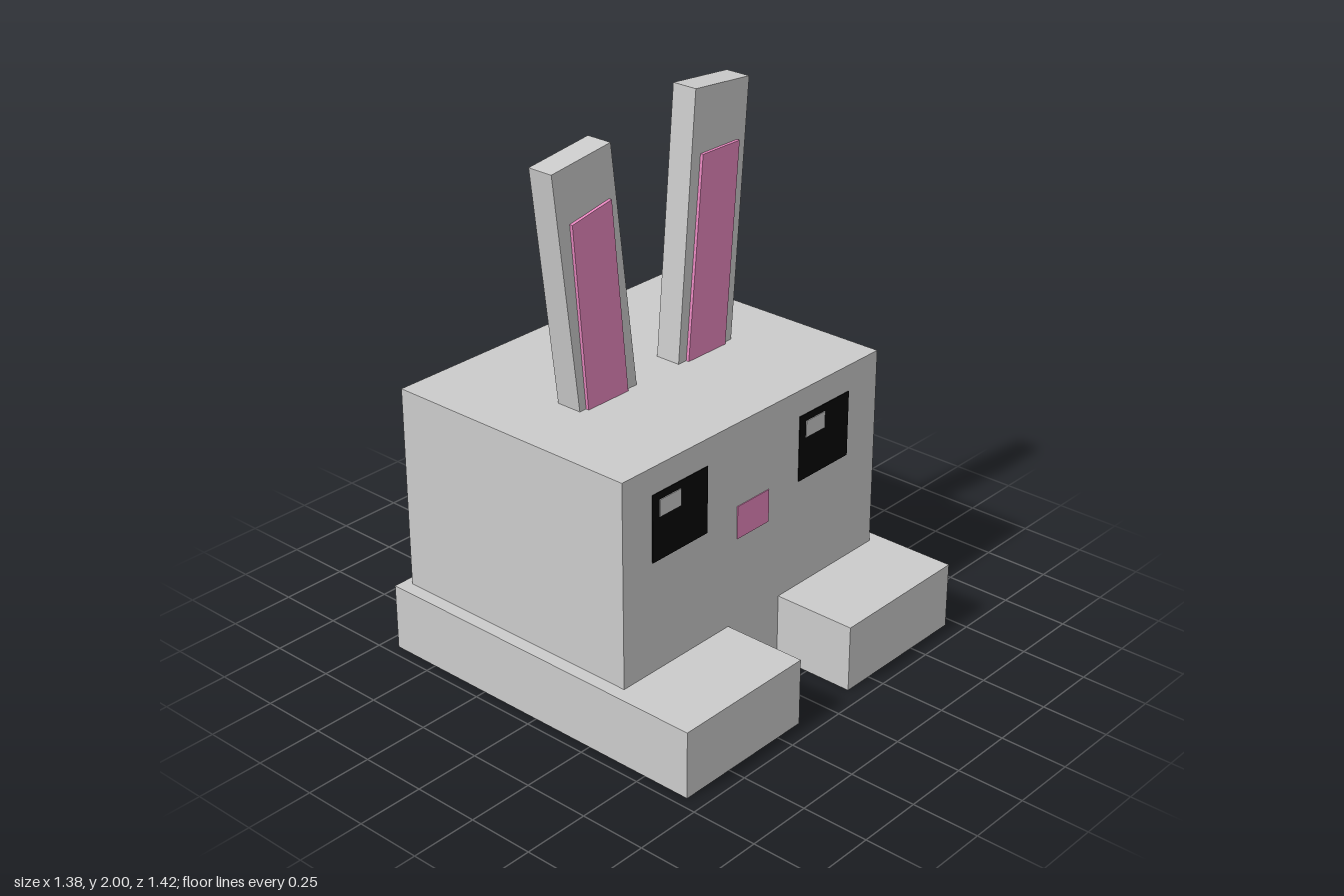
import * as THREE from 'three';

const material = (color) => new THREE.MeshStandardMaterial({ color, flatShading: true });

export function createModel() {
  const model = new THREE.Group();
  const grey = material(0xcccccc);
  const pink = material(0xe887bf);
  const black = material(0x050505);

  const add = (name, geometry, mat) => {
    const mesh = new THREE.Mesh(geometry, mat);
    mesh.name = name;
    model.add(mesh);
  };

  // Box given by its extents along each axis
  const box = (name, [x0, x1], [y0, y1], [z0, z1], mat = grey) => {
    const geometry = new THREE.BoxGeometry(x1 - x0, y1 - y0, z1 - z0);
    geometry.translate((x0 + x1) / 2, (y0 + y1) / 2, (z0 + z1) / 2);
    add(name, geometry, mat);
  };

  // Outline of [z, y] points, extruded from x0 to x1
  const slab = (name, outline, x0, x1, mat = grey) => {
    const shape = new THREE.Shape(outline.map(([z, y]) => new THREE.Vector2(-z, y)));
    const geometry = new THREE.ExtrudeGeometry(shape, { depth: x1 - x0, bevelEnabled: false });
    geometry.rotateY(Math.PI / 2).translate(x0, 0, 0);
    add(name, geometry, mat);
  };

  // Body and the two long feet
  box('body', [-0.655, 0.365], [0, 1.02], [-0.66, 0.66]);
  box('leftFoot', [-0.69, 0.685], [0, 0.253], [-0.71, -0.135]);
  box('rightFoot', [-0.69, 0.685], [0, 0.253], [0.135, 0.71]);

  // Ears leaning outwards, each with a pink inner panel
  slab('rightEar', [[0.385, 1.02], [0.105, 1.02], [0.22, 1.925], [0.493, 1.89]], -0.18, -0.08);
  slab('rightInnerEar', [[0.355, 1.02], [0.16, 1.02], [0.23, 1.735], [0.415, 1.7]], -0.08, -0.068, pink);
  slab('leftEar', [[-0.11, 1.02], [-0.39, 1.02], [-0.47, 1.977], [-0.195, 2]], -0.18, -0.08);
  slab('leftInnerEar', [[-0.15, 1.02], [-0.345, 1.02], [-0.41, 1.765], [-0.22, 1.765]], -0.08, -0.068, pink);

  // Eyes with highlights
  for (const [side, z] of [['left', -0.5], ['right', 0.25]]) {
    box(`${side}Eye`, [0.36, 0.368], [0.67, 0.92], [z, z + 0.27], black);
    box(`${side}EyeHighlight`, [0.362, 0.371], [0.83, 0.893], [z + 0.135, z + 0.237]);
  }

  // Nose
  box('nose', [0.36, 0.368], [0.58, 0.705], [-0.07, 0.095], pink);

  return model;
}
